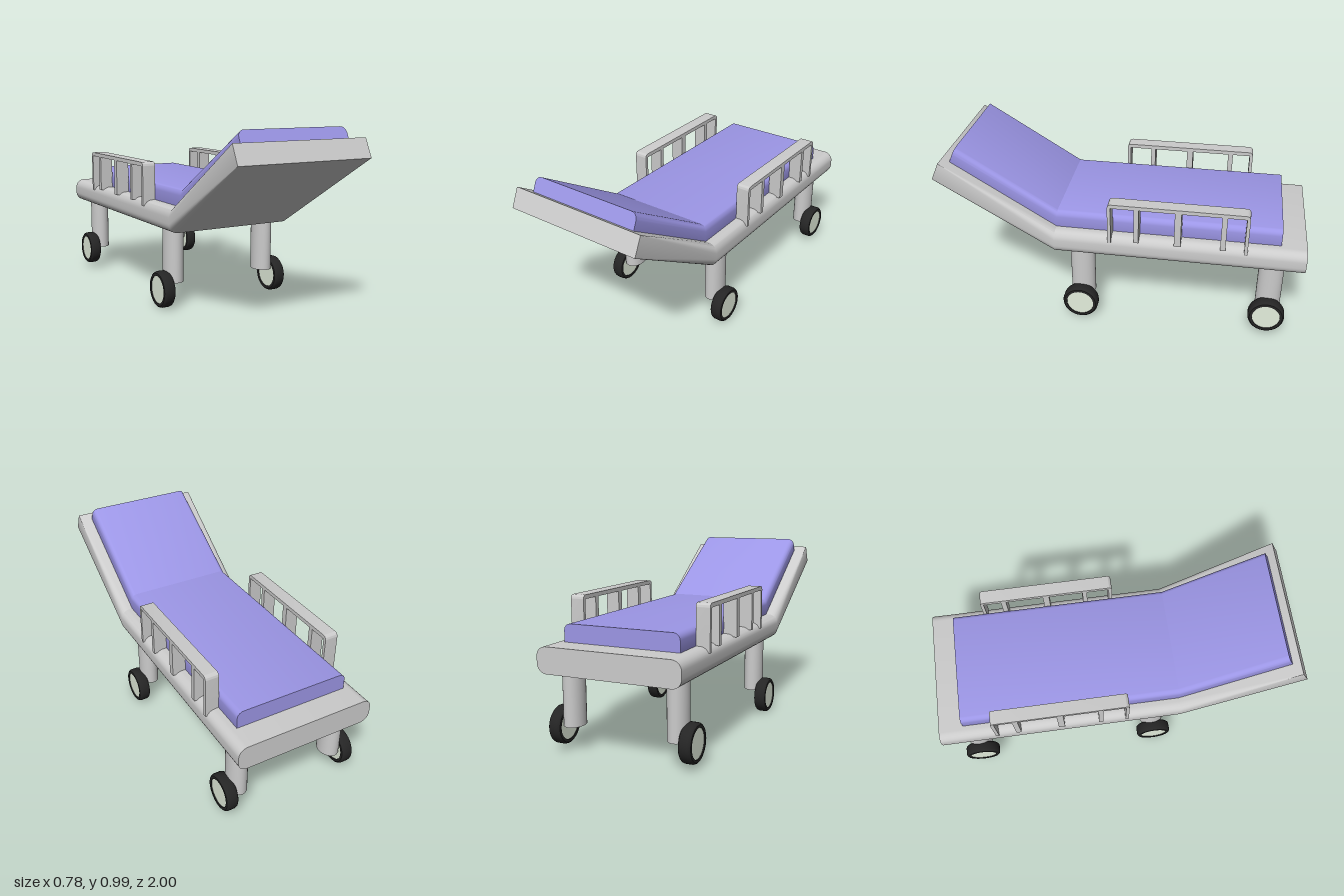
import * as THREE from 'three';
import { toCreasedNormals } from 'three/addons/utils/BufferGeometryUtils.js';

const grey = new THREE.MeshStandardMaterial({ color: 0xcccccc });
const lilac = new THREE.MeshStandardMaterial({ color: 0x9c96e6 });
const rubber = new THREE.MeshStandardMaterial({ color: 0x252525 });
const hubPaint = new THREE.MeshStandardMaterial({ color: 0xe4eedd });

function addMesh(parent, name, geometry, material, x = 0, y = 0, z = 0) {
  const mesh = new THREE.Mesh(geometry, material);
  mesh.name = name;
  mesh.position.set(x, y, z);
  parent.add(mesh);
  return mesh;
}

// Rounded section swept through stations; each has bottom and top [z, y] and corner radii
function bentSlab(halfWidth, stations) {
  const steps = 7;
  const rings = stations.map(({ bottom, top, rBottom, rTop }) => {
    const [dz, dy] = [top[0] - bottom[0], top[1] - bottom[1]];
    const h = Math.hypot(dz, dy);
    const corners = [[1, 0, rBottom, -0.5], [1, 1, rTop, 0], [-1, 1, rTop, 0.5], [-1, 0, rBottom, 1]];
    const ring = [];
    for (const [side, upper, r, start] of corners) {
      for (let k = 0; k <= steps; k++) {
        const a = (start + 0.5 * k / steps) * Math.PI;
        const x = side * (halfWidth - r) + r * Math.cos(a);
        const t = (upper ? h - r : r) / h + r * Math.sin(a) / h;
        ring.push([x, bottom[1] + dy * t, bottom[0] + dz * t]);
      }
    }
    return ring;
  });
  const n = rings[0].length;
  const pos = [];
  const tri = (a, b, c) => pos.push(...a, ...b, ...c);
  for (let s = 0; s < rings.length - 1; s++) {
    for (let i = 0; i < n; i++) {
      const j = (i + 1) % n;
      const [p, q] = [rings[s], rings[s + 1]];
      tri(p[i], p[j], q[j]);
      tri(p[i], q[j], q[i]);
    }
  }
  const [first, last] = [rings[0], rings[rings.length - 1]];
  for (let i = 1; i < n - 1; i++) {
    tri(last[0], last[i], last[i + 1]);
    tri(first[0], first[i + 1], first[i]);
  }
  const geometry = new THREE.BufferGeometry();
  geometry.setAttribute('position', new THREE.Float32BufferAttribute(pos, 3));
  return toCreasedNormals(geometry, 0.45);
}

// Inverted U with rounded shoulders, plus three upright slats
function sideRail() {
  const rail = new THREE.Group();
  const width = 0.075;
  const [z0, z1, y0, y1, r] = [-0.69, 0.055, 0.54, 0.78, 0.022];
  const s = new THREE.Shape();
  s.moveTo(z0, y0);
  s.lineTo(z0 + 0.018, y0);
  s.lineTo(z0 + 0.018, y1 - 0.022);
  s.lineTo(z1 - 0.018, y1 - 0.022);
  s.lineTo(z1 - 0.018, y0);
  s.lineTo(z1, y0);
  s.lineTo(z1, y1 - r);
  s.absarc(z1 - r, y1 - r, r, 0, Math.PI / 2, false);
  s.lineTo(z0 + r, y1);
  s.absarc(z0 + r, y1 - r, r, Math.PI / 2, Math.PI, false);
  s.closePath();
  const hoop = new THREE.ExtrudeGeometry(s, { depth: width, bevelEnabled: false, curveSegments: 6 });
  hoop.translate(0, 0, -width / 2);
  hoop.rotateY(-Math.PI / 2);
  addMesh(rail, 'railHoop', toCreasedNormals(hoop, 0.6), grey);
  for (const [z, depth] of [[-0.1, 0.025], [-0.32, 0.035], [-0.56, 0.028]]) {
    addMesh(rail, 'railSlat', new THREE.BoxGeometry(width, 0.21, depth), grey, 0, 0.66, z);
  }
  return rail;
}

// Tyre ring with rounded shoulders around a slightly recessed hub disc
function wheel() {
  const group = new THREE.Group();
  const w = 0.0325;
  const profile = [
    [0.076, -w], [0.09, -w], [0.097, -w + 0.006], [0.1, -w + 0.015],
    [0.1, w - 0.015], [0.097, w - 0.006], [0.09, w], [0.076, w], [0.076, -w],
  ].map(([r, y]) => new THREE.Vector2(r, y));
  const tyre = toCreasedNormals(new THREE.LatheGeometry(profile, 40), 0.6);
  addMesh(group, 'tyre', tyre, rubber).rotation.z = Math.PI / 2;
  const hub = new THREE.CylinderGeometry(0.0765, 0.0765, 2 * w - 0.01, 40);
  addMesh(group, 'hub', hub, hubPaint).rotation.z = Math.PI / 2;
  return group;
}

export function createModel() {
  const bed = new THREE.Group();
  bed.name = 'adjustableBed';

  // Frame: flat deck with rounded edges, rising to a square-edged backrest
  addMesh(bed, 'frame', bentSlab(0.385, [
    { bottom: [-1, 0.435], top: [-1, 0.57], rBottom: 0.05, rTop: 0.05 },
    { bottom: [0.355, 0.435], top: [0.35, 0.57], rBottom: 0.05, rTop: 0.05 },
    { bottom: [1, 0.845], top: [0.955, 0.943], rBottom: 0.002, rTop: 0.002 },
  ]), grey);

  // Mattress: follows the deck, rounded along its upper edges
  addMesh(bed, 'mattress', bentSlab(0.315, [
    { bottom: [-0.865, 0.56], top: [-0.865, 0.663], rBottom: 0.001, rTop: 0.035 },
    { bottom: [0.36, 0.56], top: [0.345, 0.663], rBottom: 0.001, rTop: 0.035 },
    { bottom: [0.922, 0.912], top: [0.885, 0.996], rBottom: 0.001, rTop: 0.035 },
  ]), lilac);

  for (const side of [1, -1]) {
    const rail = sideRail();
    rail.name = side > 0 ? 'leftRail' : 'rightRail';
    rail.position.x = side * 0.351;
    bed.add(rail);

    // Oval legs with a wheel on the outside of each
    for (const [label, legZ, wheelZ, wheelY] of [['Head', 0.214, 0.22, 0.105], ['Foot', -0.83, -0.826, 0.135]]) {
      const leg = new THREE.CylinderGeometry(1, 1, 0.317, 32);
      leg.scale(0.053, 1, 0.069);
      leg.computeVertexNormals();
      addMesh(bed, 'leg' + label, toCreasedNormals(leg, 0.7), grey, side * 0.289, 0.3015, legZ);
      const w = wheel();
      w.name = 'wheel' + label;
      w.position.set(side * 0.357, wheelY, wheelZ);
      bed.add(w);
    }
  }
  return bed;
}
